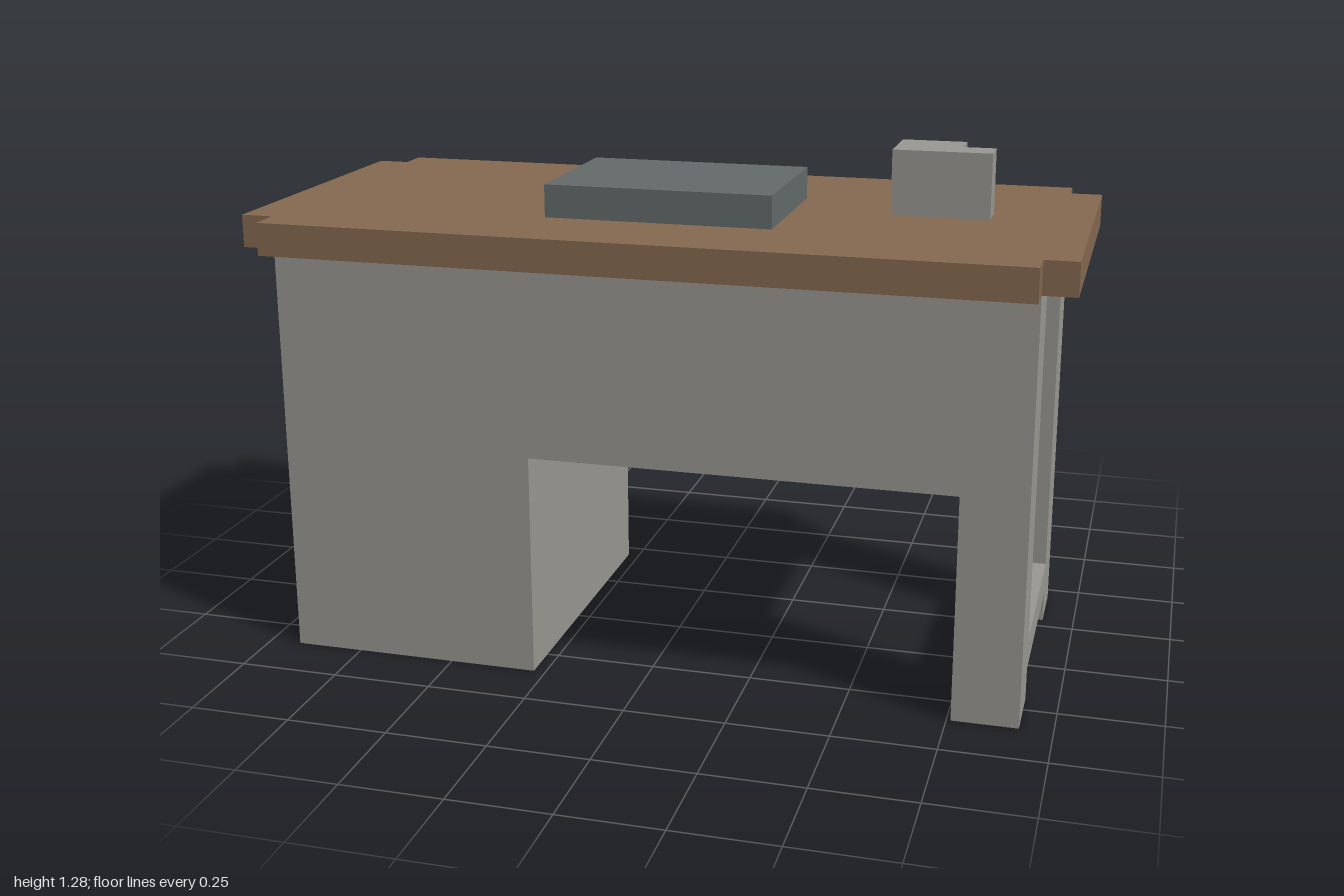
import * as THREE from 'three';

export function createModel() {
  const model = new THREE.Group();
  model.name = 'desk';

  const mat = (name, color) => {
    const m = new THREE.MeshStandardMaterial({ color });
    m.name = name;
    return m;
  };
  const wood = mat('brown wood', 0x866a50);
  const grey = mat('warm grey', 0x9a9892);
  const slate = mat('dark slate', 0x646b6b);

  const add = (name, geometry, material) => {
    const mesh = new THREE.Mesh(geometry, material);
    mesh.name = name;
    model.add(mesh);
    return mesh;
  };

  // Box given by its extents on each axis
  const box = (name, material, [x0, x1], [y0, y1], [z0, z1]) => {
    const mesh = add(name, new THREE.BoxGeometry(x1 - x0, y1 - y0, z1 - z0), material);
    mesh.position.set((x0 + x1) / 2, (y0 + y1) / 2, (z0 + z1) / 2);
    return mesh;
  };

  // Horizontal slab from an (x, z) outline, with optional holes
  const slab = (name, material, outline, y0, y1, holes = []) => {
    const points = (list) => list.map(([x, z]) => new THREE.Vector2(x, -z));
    const shape = new THREE.Shape(points(outline));
    holes.forEach((h) => shape.holes.push(new THREE.Path(points(h))));
    const g = new THREE.ExtrudeGeometry(shape, { depth: y1 - y0, bevelEnabled: false });
    g.rotateX(-Math.PI / 2);
    g.translate(0, y0, 0);
    return add(name, g, material);
  };
  const rect = (x0, x1, z0, z1) => [[x0, z1], [x1, z1], [x1, z0], [x0, z0]];

  // Tabletop with notched corners
  slab('tabletop', wood, [
    [-0.92, 0.68], [0.92, 0.68], [0.92, 0.6], [1, 0.6], [1, -0.2], [0.92, -0.2],
    [0.92, -0.28], [-0.92, -0.28], [-0.92, -0.2], [-1, -0.2], [-1, 0.6], [-0.92, 0.6],
  ], 1.04, 1.12);

  // Drawer pedestal, front panel, legs and the rail between them
  box('pedestal', grey, [-0.92, -0.28], [0, 1.04], [-0.2, 0.6]);
  box('frontPanel', grey, [-0.28, 0.76], [0.56, 1.04], [0.52, 0.6]);
  box('frontLeg', grey, [0.76, 0.92], [0, 1.04], [0.44, 0.6]);
  box('backLeg', grey, [0.76, 0.92], [0, 1.04], [-0.2, -0.04]);
  box('legRail', grey, [0.76, 0.92], [0.08, 0.16], [-0.04, 0.44]);

  // Open top drawer with a small recess holding a dark block
  box('drawerBottom', grey, [-0.84, -0.36], [0.8, 0.88], [-0.52, -0.2]);
  slab('drawerBody', grey, rect(-0.84, -0.36, -0.52, -0.2), 0.88, 0.96,
    [rect(-0.52, -0.44, -0.44, -0.28)]);
  box('drawerFront', grey, [-0.84, -0.36], [0.8, 1.04], [-0.6, -0.52]);
  box('drawerBlock', slate, [-0.52, -0.44], [0.88, 0.96], [-0.36, -0.28]);

  // Handles
  [[0.88, -0.68], [0.56, -0.28], [0.24, -0.28]].forEach(([y, z]) =>
    box('drawerHandle', slate, [-0.68, -0.52], [y, y + 0.08], [z, z + 0.08]));

  // Items on the desk
  box('deskPad', slate, [-0.28, 0.28], [1.12, 1.2], [0.04, 0.44]);
  slab('mug', grey, [
    [0.52, 0.2], [0.76, 0.2], [0.76, 0.12], [0.68, 0.12], [0.68, 0.04], [0.52, 0.04],
  ], 1.12, 1.28);

  return model;
}
